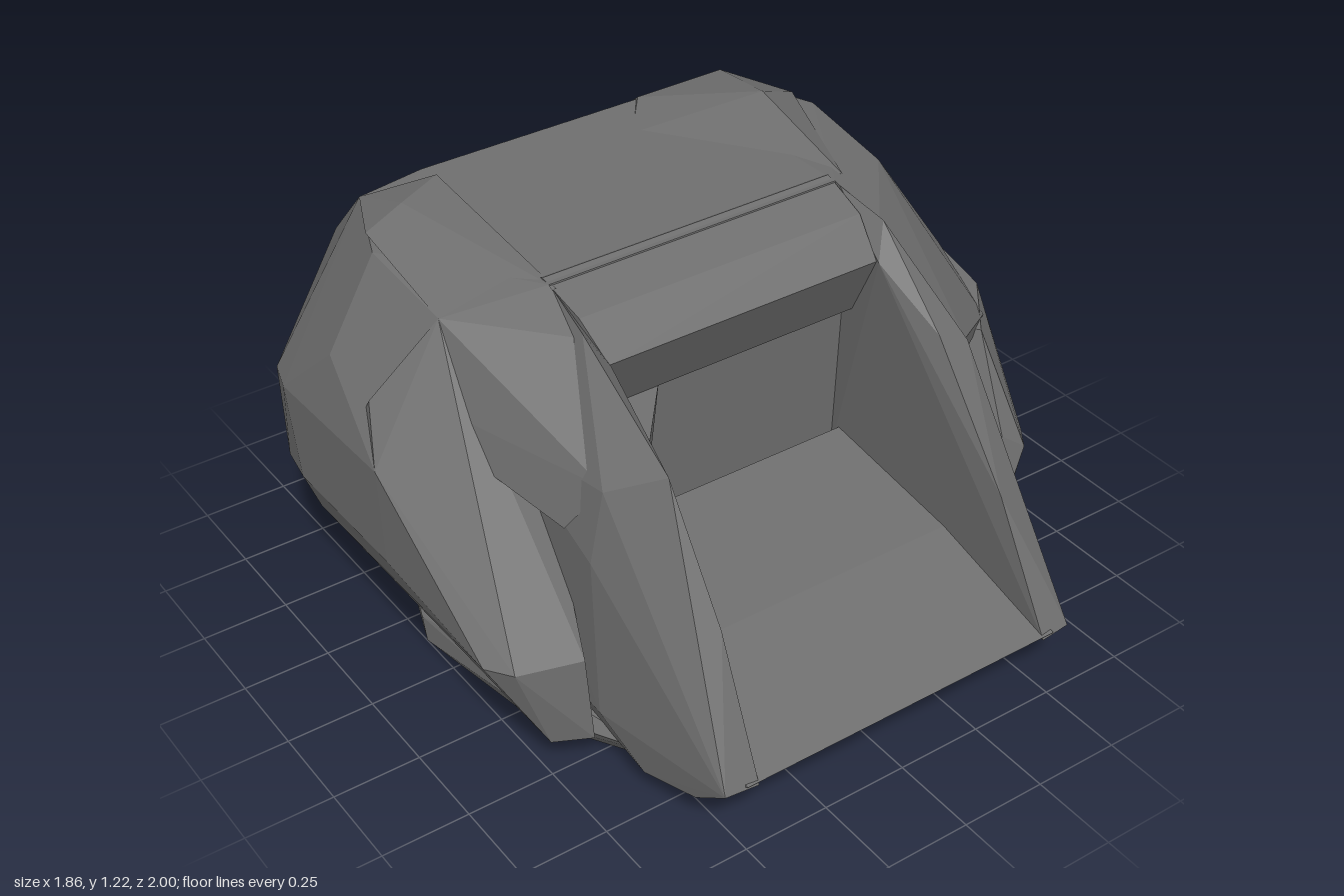
import * as THREE from 'three';
import { ConvexGeometry } from 'three/addons/geometries/ConvexGeometry.js';

const grey = new THREE.MeshStandardMaterial({ color: 0x6e6e6e });
grey.name = 'charcoal fabric';

// Faceted cushion block spanned by its corner points
function block(name, corners) {
  const mesh = new THREE.Mesh(new ConvexGeometry(corners.map(c => new THREE.Vector3(...c))), grey);
  mesh.name = name;
  return mesh;
}
const flip = corners => corners.map(([x, y, z]) => [-x, y, z]);
const both = corners => [...corners, ...flip(corners)];

export function createModel() {
  const group = new THREE.Group();
  group.name = 'armchair';

  // Rounded back of the chair, fuller at its left rear corner
  group.add(block('backBody', [...both([
    [0.5, 0.82, -0.99], [0.4, 0.45, -1], [0.5, 0.3, -0.92], [0.45, 0.14, -0.77], [0.6, 0.16, -0.71],
    [0.6, 1.13, -0.62], [0.42, 1.165, -0.6],
    [0.89, 0.7, -0.62], [0.89, 0.42, -0.6], [0.93, 0.72, -0.5], [0.925, 0.45, -0.45],
    [0.93, 0.74, 0], [0.92, 0.45, 0], [0.88, 0.91, -0.3], [0.71, 1.13, -0.35], [0.7, 1.09, -0.04],
    [0.88, 0.33, -0.45], [0.7, 0.1, -0.4], [0.7, 0.1, 0.1], [0.45, 1.16, 0.08],
    [0.45, 0.82, 0.14], [0.46, 0.4, 0.1],
  ]), [0.63, 0.75, -0.93], [0.6, 0.42, -0.91]]));

  // Overhang above the seat opening
  group.add(block('headrest', both([
    [0.42, 1.03, 0.3], [0.44, 1.12, 0.2], [0.45, 1.165, 0.05], [0.44, 0.82, 0.19],
    [0.45, 0.82, 0], [0.45, 1.1, -0.1],
  ])));

  // Sloping seat with a tucked front lip, and the folded corner of its backrest
  group.add(block('seat', both([
    [0.5, 0.21, 1], [0.49, 0.33, 0.6], [0.47, 0.4, 0.15], [0.25, 0.1, 0.89], [0.12, 0.03, 0.82],
    [0.55, 0.1, 0.75], [0.6, 0.05, 0.1],
  ])));
  group.add(block('backrestFold', [
    [-0.47, 0.83, 0.19], [-0.19, 0.83, 0.18], [-0.19, 0.44, 0.12], [-0.47, 0.39, 0.43],
    [-0.47, 0.6, 0.05], [-0.19, 0.6, 0.05], [-0.47, 0.34, 0.1],
  ]));

  // Low rounded plinth running up into the body
  group.add(block('base', both([
    [0.12, 0.02, 0.81], [0.5, 0.01, 0.63], [0.69, 0.02, 0.33], [0.76, 0.02, -0.12],
    [0.62, 0.02, -0.5], [0.28, 0.02, -0.74], [0.2, 0, 0.6], [0.2, 0, -0.2],
    [0.55, 0.1, 0.68], [0.72, 0.09, 0.36], [0.76, 0.09, -0.14], [0.6, 0.12, -0.6],
    [0.35, 0.13, -0.76], [0.7, 0.17, 0.3], [0.7, 0.17, -0.25], [0.4, 0.2, -0.75],
  ])));

  // Front arms, the right one with a taller peak
  const arm = [
    [0.465, 0.2, 1], [0.56, 0.2, 0.99], [0.57, 0.12, 0.88], [0.6, 0.08, 0.7],
    [0.63, 0.65, 0.52], [0.64, 0.2, 0.56], [0.42, 1.03, 0.31], [0.47, 1.12, 0.26],
    [0.45, 1.155, 0.1], [0.45, 0.25, 0.1], [0.62, 0.2, 0.1], [0.62, 0.8, 0.1],
  ];
  group.add(block('leftArm', [...arm, [0.46, 0.55, 0.8], [0.46, 0.9, 0.52], [0.55, 0.86, 0.53]]));
  group.add(block('rightArm', flip([...arm, [0.46, 0.57, 0.83], [0.48, 0.92, 0.64], [0.59, 0.85, 0.52]])));

  // Side bolsters: the left one leaves a pocket beside the arm, the right one is closed
  const bolster = [
    [0.93, 0.74, 0], [0.92, 0.45, 0], [0.89, 0.37, 0.42], [0.84, 0.37, 0.49],
    [0.6, 0.75, -0.3], [0.7, 0.1, -0.4], [0.88, 0.33, -0.45], [0.75, 0.11, 0.5],
  ];
  group.add(block('leftBolster', [...bolster,
    [0.72, 0.11, 0.52], [0.77, 0.42, 0.47], [0.76, 0.72, 0.36], [0.9, 0.73, 0.18],
    [0.6, 0.74, 0.2], [0.6, 0.12, 0.35],
  ]));
  group.add(block('rightBolster', flip([...bolster,
    [0.66, 0.36, 0.53], [0.65, 0.11, 0.55], [0.7, 1.09, -0.04], [0.5, 1, 0], [0.88, 0.88, -0.1],
  ])));

  // Shoulders joining the arms to the back
  const shoulder = [
    [0.57, 0.84, 0.5], [0.46, 1.1, 0.26], [0.45, 1.16, 0.08], [0.71, 1.13, -0.35],
    [0.88, 0.91, -0.3], [0.7, 1.09, -0.04], [0.46, 0.8, 0.1], [0.64, 0.7, 0.42],
  ];
  group.add(block('leftShoulder', [...shoulder, [0.91, 0.77, 0], [0.84, 0.7, 0.28]]));
  group.add(block('rightShoulder', flip(shoulder)));

  // Uneven padding humps on top
  group.add(block('leftHump', [
    [0.53, 1.22, -0.35], [0.28, 1.17, -0.6], [0.26, 1.0, -0.8], [0.16, 1.16, -0.45],
    [0.69, 1.14, -0.42], [0.5, 1.15, 0.05], [0.58, 1.16, -0.62], [0.4, 1, -0.4],
  ]));
  group.add(block('rightHump', [
    [-0.44, 1.21, -0.48], [-0.58, 1.2, -0.42], [-0.4, 1.16, -0.53], [-0.44, 1.155, 0.1],
    [-0.7, 1.16, -0.4], [-0.7, 1.09, -0.04], [-0.6, 1.13, -0.62], [-0.5, 1, -0.3],
  ]));

  return group;
}
